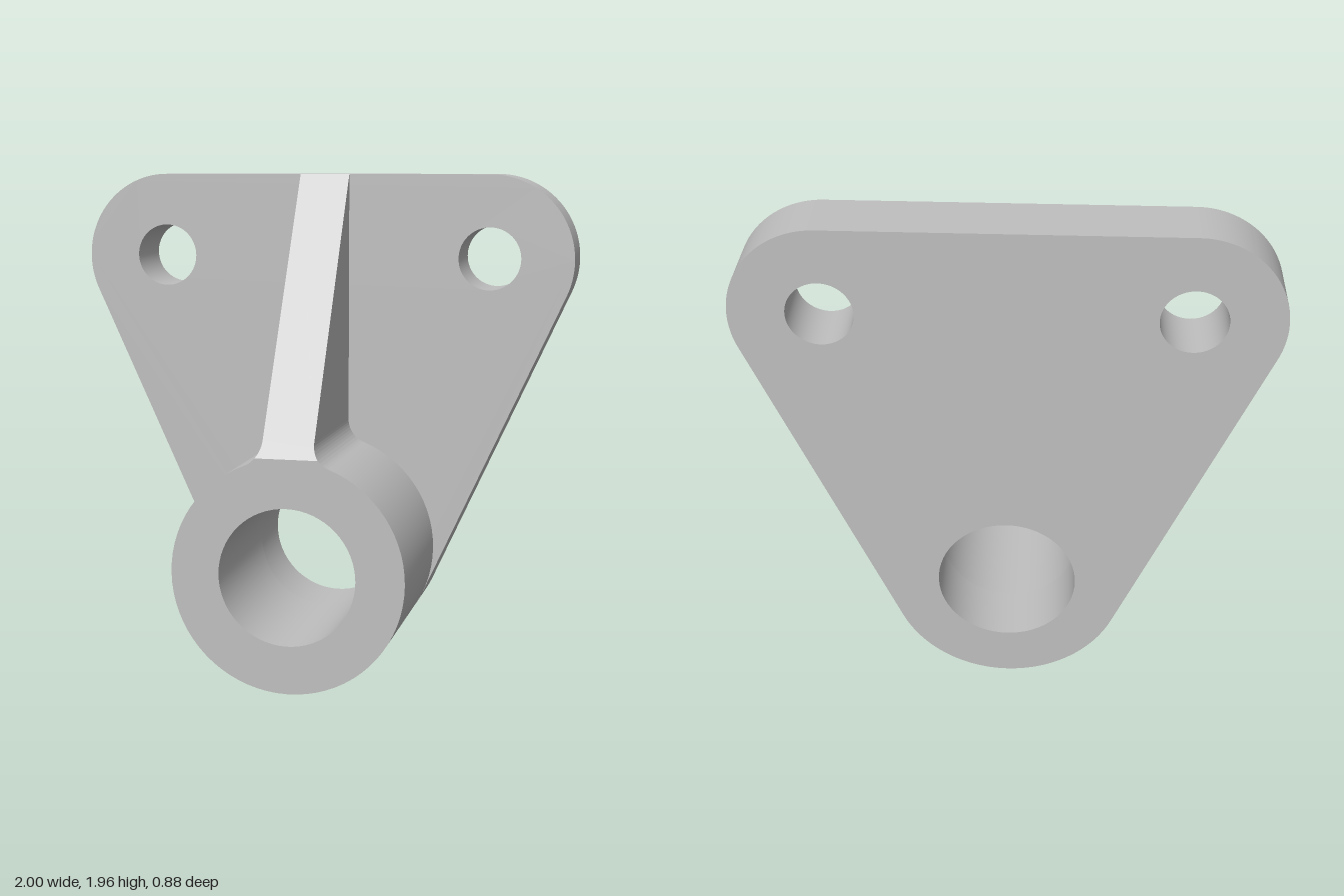
import * as THREE from 'three';
import { toCreasedNormals } from 'three/addons/utils/BufferGeometryUtils.js';

const BACK = -0.44, PLATE_FRONT = -0.19, FRONT = 0.44, TOP = 1.96;
const BOSS_R = 0.455, BOSS_Y = 0.455, BORE_R = 0.267;
const EAR_X = 0.665, EAR_Y = 1.625, EAR_R = 0.335, BOLT_R = 0.124;
const RIB_X = 0.1, FILLET_R = 0.1, RIB_BASE = BOSS_Y + BOSS_R;

function hole(x, y, r) {
  return new THREE.Path().absarc(x, y, r, 0, Math.PI * 2, true);
}

function extrude(shape, z0, z1) {
  const geo = new THREE.ExtrudeGeometry(shape, { depth: z1 - z0, bevelEnabled: false, curveSegments: 32 });
  return geo.translate(0, 0, z0);
}

function part(name, geo, material) {
  const mesh = new THREE.Mesh(toCreasedNormals(geo, 0.5), material);
  mesh.name = name;
  return mesh;
}

export function createModel() {
  const group = new THREE.Group();
  group.name = 'bearingBracket';
  const grey = new THREE.MeshStandardMaterial({ color: 0xbfbfbf });
  grey.name = 'grey metal';

  // Mounting plate: tangent outline round the boss and the two ears
  const dx = EAR_X, dy = EAR_Y - BOSS_Y;
  const t = Math.atan2(dy, dx) - Math.acos((BOSS_R - EAR_R) / Math.hypot(dx, dy));
  const plate = new THREE.Shape();
  plate.absarc(0, BOSS_Y, BOSS_R, -Math.PI - t, t, false);
  plate.absarc(EAR_X, EAR_Y, EAR_R, t, Math.PI / 2, false);
  plate.absarc(-EAR_X, EAR_Y, EAR_R, Math.PI / 2, Math.PI - t, false);
  plate.closePath();
  plate.holes.push(hole(0, BOSS_Y, BORE_R));
  for (const s of [-1, 1]) plate.holes.push(hole(s * 0.667, 1.63, BOLT_R));
  group.add(part('mountingPlate', extrude(plate, BACK, PLATE_FRONT), grey));

  // Fillet circle touching the rib side and the boss
  const fx = RIB_X + FILLET_R;
  const fh = Math.sqrt((BOSS_R + FILLET_R) ** 2 - fx ** 2);
  const fy = BOSS_Y + fh;
  const touch = Math.atan2(fh, fx);
  const split = Math.PI + Math.asin((fy - RIB_BASE) / FILLET_R);

  // Boss with the lower half of both fillets
  const boss = new THREE.Shape();
  boss.absarc(0, BOSS_Y, BOSS_R, -Math.PI - touch, touch, false);
  boss.absarc(fx, fy, FILLET_R, Math.PI + touch, split, true);
  boss.absarc(-fx, fy, FILLET_R, Math.PI - split, -touch, true);
  boss.holes.push(hole(0, BOSS_Y, BORE_R));
  group.add(part('bearingBoss', extrude(boss, PLATE_FRONT, FRONT), grey));

  // Rib with the upper half of both fillets, its front sloped back to the plate top
  const rib = new THREE.Shape();
  rib.absarc(fx, fy, FILLET_R, split, Math.PI, true);
  rib.lineTo(RIB_X, TOP);
  rib.lineTo(-RIB_X, TOP);
  rib.absarc(-fx, fy, FILLET_R, 0, Math.PI - split, true);
  const ribGeo = extrude(rib, PLATE_FRONT, FRONT);
  const pos = ribGeo.attributes.position;
  for (let i = 0; i < pos.count; i++) {
    if (pos.getZ(i) > 0) {
      const k = (TOP - pos.getY(i)) / (TOP - RIB_BASE);
      pos.setZ(i, PLATE_FRONT + k * (FRONT - PLATE_FRONT));
    }
  }
  group.add(part('supportRib', ribGeo, grey));

  return group;
}
